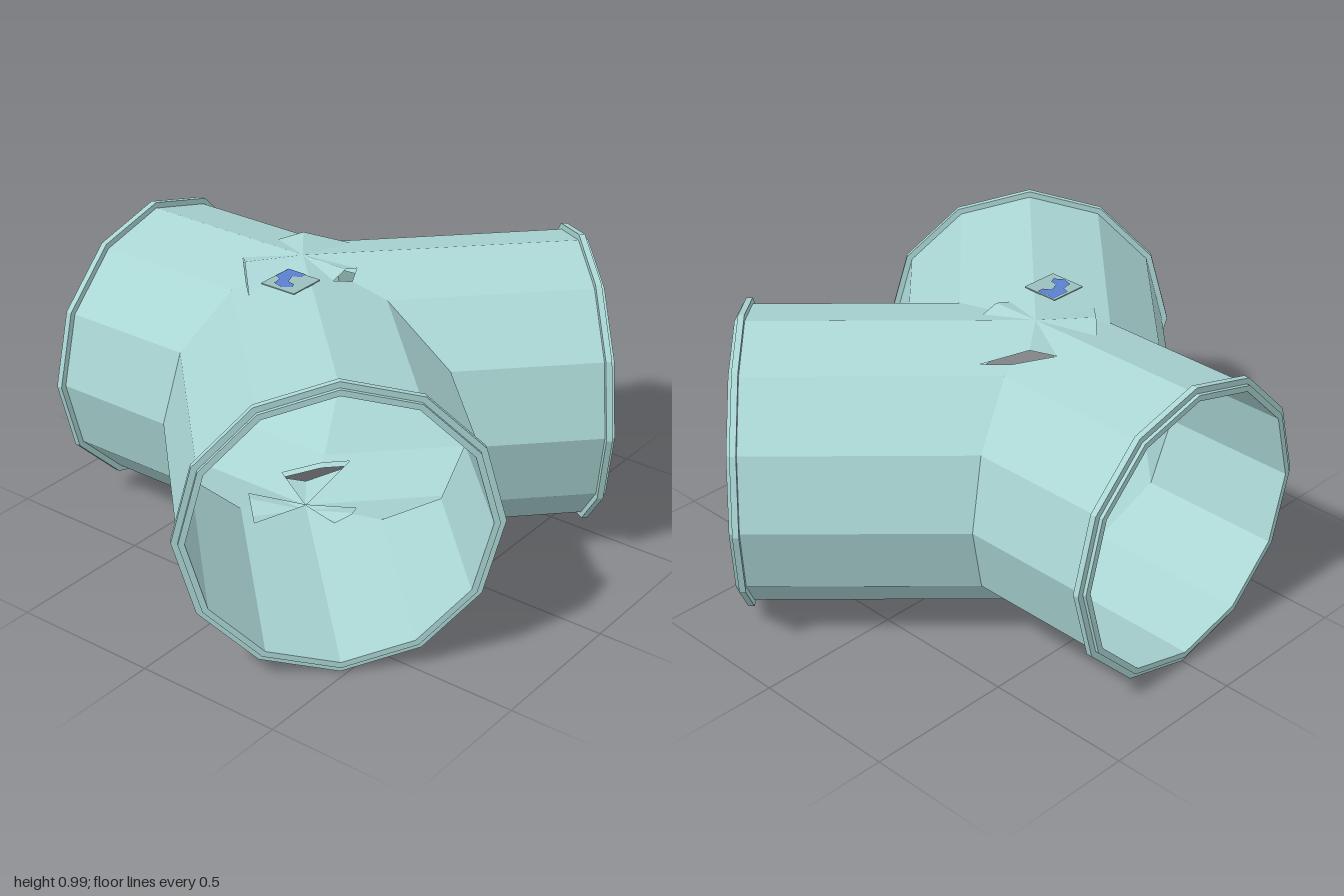
import * as THREE from 'three';

const SIDES = 12, OUTER = 0.475, INNER = 0.455, RIM = 0.495;
const CENTRE = new THREE.Vector3(0, 0.495, -0.17);
const SLOPE = Math.tan(Math.PI / 12); // fall of the facets beside each ridge

// Mitre joints: cot = axial run per unit of width, valley = where the slot ends in the valley.
// Corner = [width, axial distance] of the slot's corner on each pipe.
const rear = { cot: Math.tan(Math.PI / 8), valley: 0.19 };
const onFrontPipe = { ...rear, corner: [0.19, 0.177] };
const onBackPipe = { ...rear, corner: [0.09, 0.175] };
const crotch = { cot: 1, valley: 0.14, corner: [0.078, 0.163] };

// Each pipe runs along its local +z; pos / neg are the joints on its local +x / -x sides.
const pipes = [
  { name: 'backPipe', turn: Math.PI, end: 0.66, pos: onBackPipe, neg: onBackPipe },
  { name: 'leftFrontPipe', turn: Math.PI / 4, end: 0.931, pos: onFrontPipe, neg: crotch },
  { name: 'rightFrontPipe', turn: -Math.PI / 4, end: 0.931, pos: crotch, neg: onFrontPipe },
];

function trianglesGeometry(points) {
  const g = new THREE.BufferGeometry().setFromPoints(points);
  g.computeVertexNormals();
  return g;
}

// Twelve-sided wall, mitred at the junction and slotted beside its top and bottom ridges
function wallGeometry(pipe, R, length, facing) {
  const points = [];
  const fan = (poly, out) => {
    for (let i = 1; i < poly.length - 1; i++) {
      const [a, b, c] = [poly[0], poly[i], poly[i + 1]];
      const n = b.clone().sub(a).cross(c.clone().sub(a));
      if (n.dot(out) * facing > 0) points.push(a, b, c);
      else points.push(a, c, b);
    }
  };
  for (let i = 0; i < SIDES; i++) {
    const mid = (i + 0.5) * Math.PI * 2 / SIDES;
    const out = new THREE.Vector3(Math.sin(mid), Math.cos(mid), 0);
    const side = Math.sign(out.x), up = Math.sign(out.y);
    const joint = side > 0 ? pipe.pos : pipe.neg;
    const corner = (k, z) => {
      const a = k * Math.PI * 2 / SIDES, x = R * Math.sin(a);
      return new THREE.Vector3(x, R * Math.cos(a), z ?? Math.abs(x) * joint.cot);
    };
    if ([0, 5, 6, 11].includes(i)) {
      // facet next to a ridge, with the slot cut out
      const ridge = i === 0 ? 0 : i === 11 ? 12 : 6;
      const edge = ridge === i ? i + 1 : i;
      const onFacet = (w, z) => new THREE.Vector3(side * w, up * (R - w * SLOPE), z);
      fan([
        corner(edge, length), corner(edge),
        onFacet(joint.valley, joint.valley * joint.cot),
        onFacet(...joint.corner), corner(ridge), corner(ridge, length),
      ], out);
    } else {
      fan([corner(i), corner(i + 1), corner(i + 1, length), corner(i, length)], out);
    }
  }
  return trianglesGeometry(points);
}

// Raised collar and end lip
function collarGeometry(end) {
  const start = end - 0.032, stop = end - 0.012;
  const profile = [
    [OUTER, start], [RIM, start], [RIM, stop], [OUTER, stop],
    [OUTER, end], [INNER, end], [INNER, start],
  ].map(([r, y]) => new THREE.Vector2(r, y));
  return new THREE.LatheGeometry(profile, SIDES).rotateX(Math.PI / 2);
}

// Small folded flap over a slot; a and b are its corners, t sets the peak between them
function flapGeometry(a, b, t, up) {
  const c = new THREE.Vector3(0, up * OUTER, 0);
  const peak = a.clone().lerp(b, t).setY(up * (OUTER - 0.003));
  const points = [c, a, peak, c, peak, b];
  const n = peak.clone().sub(c).cross(b.clone().sub(c));
  if (n.y * up < 0) points.reverse();
  return trianglesGeometry(points);
}

export function createModel() {
  const model = new THREE.Group();
  model.name = 'pipeJunction';
  const teal = new THREE.MeshStandardMaterial({ color: 0xaad6d4, flatShading: true, side: THREE.DoubleSide });
  teal.name = 'pale teal';
  const grey = new THREE.MeshStandardMaterial({ color: 0x9abebc });
  grey.name = 'grey teal';
  const blue = new THREE.MeshStandardMaterial({ color: 0x5b80d2, side: THREE.DoubleSide });
  blue.name = 'blue';

  const add = (parent, name, geometry, material) => {
    const mesh = new THREE.Mesh(geometry, material);
    mesh.name = name;
    parent.add(mesh);
    return mesh;
  };

  const junction = new THREE.Group();
  junction.name = 'junction';
  junction.position.copy(CENTRE);
  model.add(junction);

  // Three pipes
  for (const pipe of pipes) {
    const group = new THREE.Group();
    group.name = pipe.name;
    group.rotation.y = pipe.turn;
    junction.add(group);
    const length = pipe.end - 0.032;
    add(group, 'outerWall', wallGeometry(pipe, OUTER, length, 1), teal);
    add(group, 'innerWall', wallGeometry(pipe, INNER, length, -1), teal);
    add(group, 'collar', collarGeometry(pipe.end), teal);
  }

  // Flaps at the three valleys, above and below
  const [back, left, right] = pipes;
  const place = (pipe, side, joint, up) => {
    const [w, z] = joint.corner;
    return new THREE.Vector3(side * w, up * (OUTER - w * SLOPE), z)
      .applyAxisAngle(new THREE.Vector3(0, 1, 0), pipe.turn);
  };
  for (const up of [1, -1]) {
    const where = up > 0 ? 'top' : 'bottom';
    add(junction, where + 'LeftFlap', flapGeometry(
      place(left, 1, onFrontPipe, up), place(back, -1, onBackPipe, up), 0.65, up), teal);
    add(junction, where + 'RightFlap', flapGeometry(
      place(right, -1, onFrontPipe, up), place(back, 1, onBackPipe, up), 0.65, up), teal);
    add(junction, where + 'FrontFlap', flapGeometry(
      place(left, -1, crotch, up), place(right, 1, crotch, up), 0.5, up), teal);
  }

  // Thin plate with a painted patch
  const plate = add(model, 'plate', new THREE.BoxGeometry(0.13, 0.004, 0.13), grey);
  plate.position.set(-0.193, 0.976, -0.065);
  const outline = [
    [0.064, 0.06], [0.0, 0.06], [-0.01, 0.035], [-0.045, 0.03], [-0.055, -0.005],
    [-0.035, -0.035], [-0.015, -0.025], [-0.01, 0.0], [0.025, 0.015], [0.04, -0.01], [0.064, -0.01],
  ].map(([x, y]) => new THREE.Vector2(x, y));
  const patch = add(model, 'paintedPatch',
    new THREE.ShapeGeometry(new THREE.Shape(outline)).rotateX(-Math.PI / 2), blue);
  patch.position.set(-0.193, 0.981, -0.065);

  return model;
}
